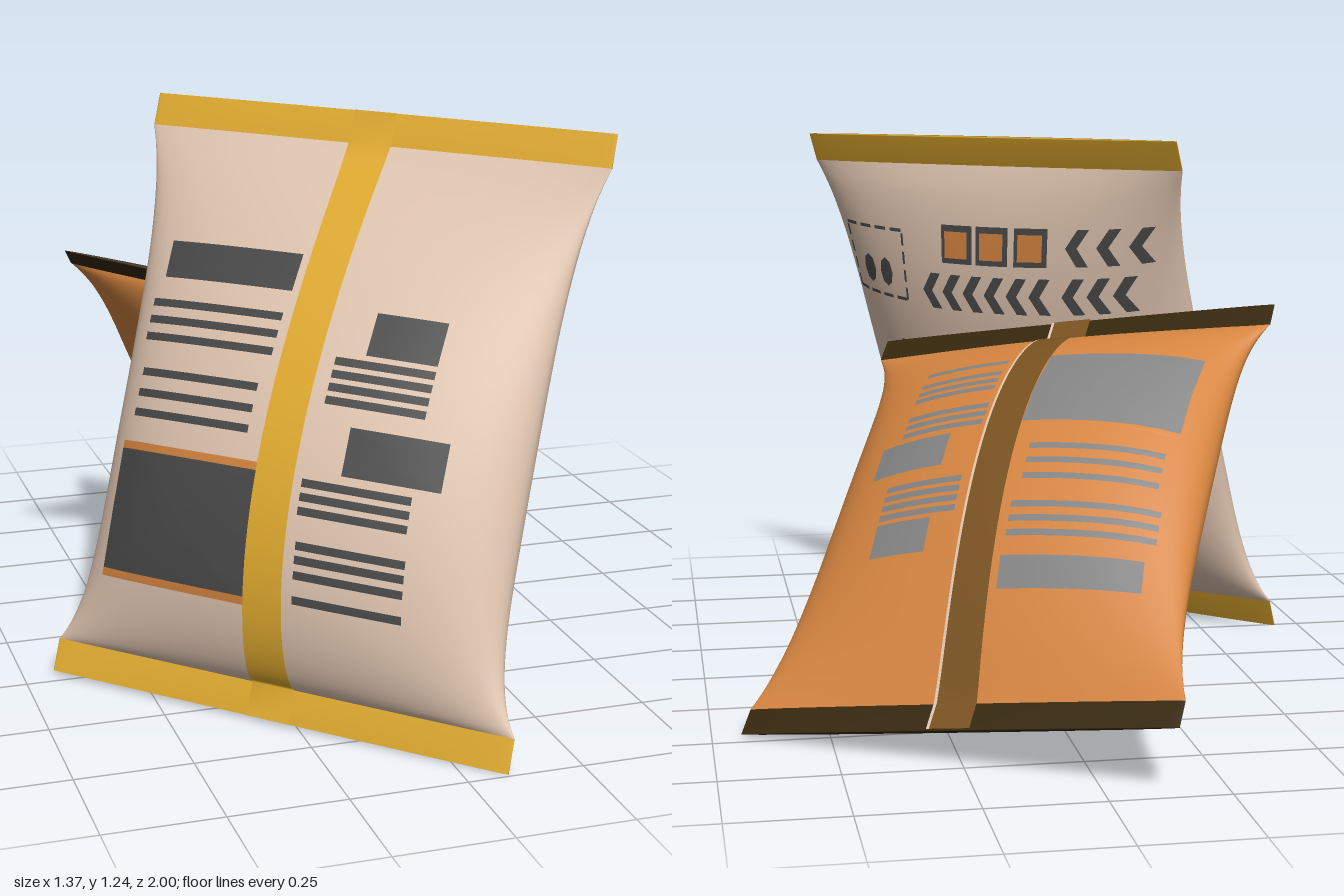
import * as THREE from 'three';
import { mergeGeometries } from 'three/addons/utils/BufferGeometryUtils.js';

const HALF = 0.545, LEN = 1.306, SEAM = 0.055;

// Pillow shape at height t (0 bottom .. 1 top); the picture face (side -1) is the fuller one
const inner = t => Math.min(1, Math.max(0, (t - SEAM) / (1 - 2 * SEAM)));
const depth = (t, side) => {
  const q = inner(t);
  return 0.006 + 0.55 * q ** 0.7 * (1 - q) ** (side > 0 ? 1.1 : 0.85);
};
const halfWidth = t => {
  const q = inner(t);
  return HALF - 0.063 * (1 - Math.exp(-q / 0.08)) * (1 - Math.exp((q - 1) / 0.15));
};

// Point on the bag: s runs -1..1 across, side +1 is the seam face, -1 the picture face
function onBag(s, t, side, lift = 0, k = 1) {
  const z = k * depth(t, side) * Math.max(0, 1 - s * s) ** 0.52 + lift;
  return [side * s * halfWidth(t), t * LEN, side * z];
}

function build(points, index) {
  const g = new THREE.BufferGeometry();
  g.setAttribute('position', new THREE.Float32BufferAttribute(points.flat(), 3));
  g.setIndex(index);
  g.computeVertexNormals();
  return g;
}

// Closed tube through rows of [height, thickness factor]
function loft(rows) {
  const N = 80, pts = [], idx = [];
  rows.forEach(([t, k]) => {
    for (let j = 0; j < N; j++) {
      const a = (j / N) * Math.PI * 2, side = Math.cos(a) >= 0 ? 1 : -1;
      pts.push(onBag(Math.sin(a) * side, t, side, 0, k));
    }
  });
  for (let i = 0; i < rows.length - 1; i++) for (let j = 0; j < N; j++) {
    const a = i * N + j, b = i * N + (j + 1) % N;
    idx.push(a, b, b + N, a, b + N, a + N);
  }
  return build(pts, idx);
}

const bodyRows = Array.from({ length: 49 }, (_, i) => SEAM + (1 - 2 * SEAM) * (i / 48) ** 1.4);

// Strip running the full height of the seam face
function strip(s0, s1, lift) {
  const pts = [], idx = [];
  [0, ...bodyRows, 1].forEach((t, i) => {
    [s0, (s0 + s1) / 2, s1].forEach(s => pts.push(onBag(s, t, 1, lift)));
    if (i) for (let j = 0; j < 2; j++) {
      const a = (i - 1) * 3 + j;
      idx.push(a, a + 1, a + 4, a, a + 4, a + 3);
    }
  });
  return build(pts, idx);
}

// Printed polygon that follows the curved face, filled in rings around its centre
function print(poly, side, layer, centre) {
  const p = poly.map(([x, y]) => new THREE.Vector2(x, y));
  if (THREE.ShapeUtils.area(p) < 0) p.reverse();
  const c = centre ? new THREE.Vector2(...centre)
    : p.reduce((a, b) => a.add(b), new THREE.Vector2()).divideScalar(p.length);
  const edge = [];
  p.forEach((a, i) => {
    const b = p[(i + 1) % p.length], n = Math.ceil(a.distanceTo(b) / 0.1);
    for (let j = 0; j < n; j++) edge.push(a.clone().lerp(b, j / n));
  });
  const rings = Math.ceil(Math.max(...p.map(v => v.distanceTo(c))) / 0.08), n = edge.length;
  const pts = [onBag(c.x, c.y, side, layer * 0.003)], idx = [];
  for (let r = 1; r <= rings; r++) edge.forEach((e, j) => {
    const v = c.clone().lerp(e, r / rings), k = (j + 1) % n, o = 1 + (r - 1) * n;
    pts.push(onBag(v.x, v.y, side, layer * 0.003));
    if (r === 1) idx.push(0, 1 + j, 1 + k);
    else idx.push(o - n + j, o + j, o + k, o - n + j, o + k, o - n + k);
  });
  return build(pts, idx);
}

const rect = (s0, s1, t0, t1) => [[s0, t0], [s1, t0], [s1, t1], [s0, t1]];
const lines = (s0, s1, heights) => heights.map(t => rect(s0, s1, t - 0.0065, t + 0.0065));
const oval = (s, t, rs, rt, n) => Array.from({ length: n }, (_, i) => {
  const a = (i / n + 0.25) * Math.PI * 2;
  return [s + rs * Math.cos(a), t + rt * Math.sin(a)];
});
const chevron = (s, t) => [1, -1].map(m => [
  [s - 0.05, t], [s + 0.01, t], [s + 0.07, t + m * 0.032], [s + 0.01, t + m * 0.032]]);

// Seam face print
const infoBlocks = [
  rect(-0.82, -0.13, 0.682, 0.745), rect(-0.87, -0.09, 0.19, 0.39),
  rect(0.29, 0.6, 0.595, 0.665), rect(0.3, 0.72, 0.403, 0.48),
  ...lines(-0.86, -0.14, [0.638, 0.609, 0.58]), ...lines(-0.83, -0.17, [0.52, 0.485, 0.452]),
  ...lines(0.16, 0.6, [0.58, 0.559, 0.538, 0.517]), ...lines(0.13, 0.61, [0.383, 0.361, 0.339]),
  ...lines(0.14, 0.62, [0.285, 0.263, 0.239, 0.2])];
const panelEdges = [rect(-0.87, -0.09, 0.39, 0.403), rect(-0.87, -0.09, 0.177, 0.19)];

// Picture face print
const dashes = [];
for (let i = 0; i < 4; i++) {
  const s = -0.92 + i * 0.107, t = 0.72 + i * 0.033;
  for (const y of [0.72, 0.846]) dashes.push(rect(s, s + 0.075, y - 0.003, y + 0.003));
  for (const x of [-0.92, -0.52]) dashes.push(rect(x - 0.007, x + 0.007, t, t + 0.022));
}
const squares = [-0.17, 0.04, 0.26];
const darkMarks = [
  ...dashes, oval(-0.79, 0.765, 0.045, 0.027, 8), oval(-0.66, 0.765, 0.045, 0.027, 8),
  ...squares.map(s => rect(s - 0.092, s + 0.092, 0.797, 0.863)),
  ...[0.5, 0.66, 0.82].flatMap(s => chevron(s, 0.83)),
  ...[-0.35, -0.22, -0.09, 0.04, 0.17, 0.3, 0.48, 0.61, 0.74].flatMap(s => chevron(s, 0.745)),
  rect(-0.2, 0.13, 0.159, 0.17), rect(-0.24, 0.08, 0.137, 0.148),
  [[-0.8, 0.587], [-0.6, 0.64], [-0.5, 0.605], [-0.72, 0.567]],
  [[-0.74, 0.24], [-0.6, 0.26], [-0.58, 0.2], [-0.7, 0.195]],
  [[-0.46, 0.265], [-0.36, 0.26], [-0.33, 0.205], [-0.44, 0.2]]];
const cup = [[-0.79, 0.47], [-0.6, 0.455], [-0.4, 0.47], [-0.41, 0.41], [-0.6, 0.395], [-0.77, 0.42]];
const leaves = [
  [[-0.81, 0.42], [-0.6, 0.4], [-0.34, 0.42], [-0.36, 0.365], [-0.6, 0.35], [-0.78, 0.365]],
  [[-0.79, 0.335], [-0.6, 0.32], [-0.36, 0.345], [-0.42, 0.295], [-0.58, 0.285], [-0.74, 0.3]],
  [[-0.4, 0.48], [-0.3, 0.54], [-0.29, 0.5], [-0.37, 0.455]]];
const splash = [
  [-0.3, 0.59], [-0.17, 0.625], [-0.02, 0.58], [0.1, 0.63], [0.25, 0.6], [0.35, 0.63], [0.42, 0.58],
  [0.56, 0.56], [0.55, 0.49], [0.73, 0.47], [0.78, 0.35], [0.6, 0.36], [0.52, 0.37], [0.45, 0.325],
  [0.35, 0.31], [0.36, 0.23], [0.1, 0.22], [-0.1, 0.26], [-0.08, 0.32], [-0.22, 0.26],
  [-0.38, 0.255], [-0.3, 0.32], [-0.16, 0.42], [-0.2, 0.52]];
// The picture sits slightly off the middle of its face
const settle = ([s, t]) => [s + 0.02, t - 0.013];

function makeBag(name, c) {
  const bag = new THREE.Group();
  bag.name = name;
  const add = (part, geometry, material) => {
    const m = new THREE.Mesh(geometry, material);
    m.name = part;
    bag.add(m);
  };
  const inkBack = (part, polys, material) =>
    add(part, mergeGeometries(polys.map(p => print(p, 1, 1))), material);
  const inkFront = (part, polys, material, layer, centre) =>
    add(part, mergeGeometries(polys.map(p => print(p.map(settle), -1, layer, centre))), material);

  add('body', loft(bodyRows.map(t => [t, 1])), c.body);
  add('bottomSeal', loft([[0, 0], [0, 1], [SEAM, 1]]), c.seal);
  add('topSeal', loft([[1 - SEAM, 1], [1, 1], [1, 0]]), c.seal);
  add('backSeam', strip(-0.092, 0.092, 0.005), c.seam);
  if (c.seamEdge) add('seamEdge', strip(0.092, 0.107, 0.004), c.seamEdge);

  inkBack('infoBlocks', infoBlocks, c.info);
  inkBack('panelEdges', panelEdges, c.accent);
  inkFront('frontMarks', darkMarks, c.marks, 1);
  inkFront('frontSquares', squares.map(s => rect(s - 0.068, s + 0.068, 0.807, 0.853)), c.accent, 2);
  inkFront('splash', [splash], c.splash, 1, [0.2, 0.427]);
  inkFront('leaves', leaves, c.leaves, 1);
  inkFront('cup', [cup], c.marks, 2);
  inkFront('ball', [oval(-0.58, 0.514, 0.2, 0.075, 6)], c.ball, 3);
  return bag;
}

// Lay a bag between the midpoints of its ends, with its width along a given vector
function place(bag, bottom, top, across) {
  const b = new THREE.Vector3(...bottom), y = new THREE.Vector3(...top).sub(b);
  const x = new THREE.Vector3(...across), sx = x.length() / (2 * HALF), sy = y.length() / LEN;
  const z = x.clone().cross(y).normalize();
  y.normalize();
  x.crossVectors(y, z);
  bag.quaternion.setFromRotationMatrix(new THREE.Matrix4().makeBasis(x, y, z));
  bag.scale.set(sx, sy, (sx + sy) / 2);
  bag.position.copy(b);
  return bag;
}

export function createModel() {
  const mat = (name, color) => {
    const m = new THREE.MeshStandardMaterial({ color });
    m.name = name;
    return m;
  };
  const cream = mat('cream', 0xe2c7b2), yellow = mat('yellow', 0xe2ac2f);
  const charcoal = mat('charcoal', 0x4a4a4a), orange = mat('orange', 0xd68540);
  const darkBrown = mat('darkBrown', 0x36270c), brown = mat('brown', 0x7a5220);
  const grey = mat('grey', 0x848484), pink = mat('pink', 0xe0667f);
  const green = mat('green', 0xa3bd55), darkRed = mat('darkRed', 0x4a0a0d);

  const model = new THREE.Group();
  model.name = 'snackBags';
  model.add(place(makeBag('standingBag', {
    body: cream, seal: yellow, seam: yellow, info: charcoal, accent: orange,
    marks: charcoal, splash: darkRed, leaves: green, ball: pink,
  }), [-0.297, 0.007, 0.603], [0.05, 1.237, 0.275], [0.77, -0.01, 0.785]));
  model.add(place(makeBag('leaningBag', {
    body: orange, seal: darkBrown, seam: brown, seamEdge: cream, info: grey, accent: orange,
    marks: charcoal, splash: cream, leaves: grey, ball: charcoal,
  }), [-0.137, 0.805, 0.077], [0.275, 0.077, -0.735], [0.825, -0.137, 0.543]));
  return model;
}
